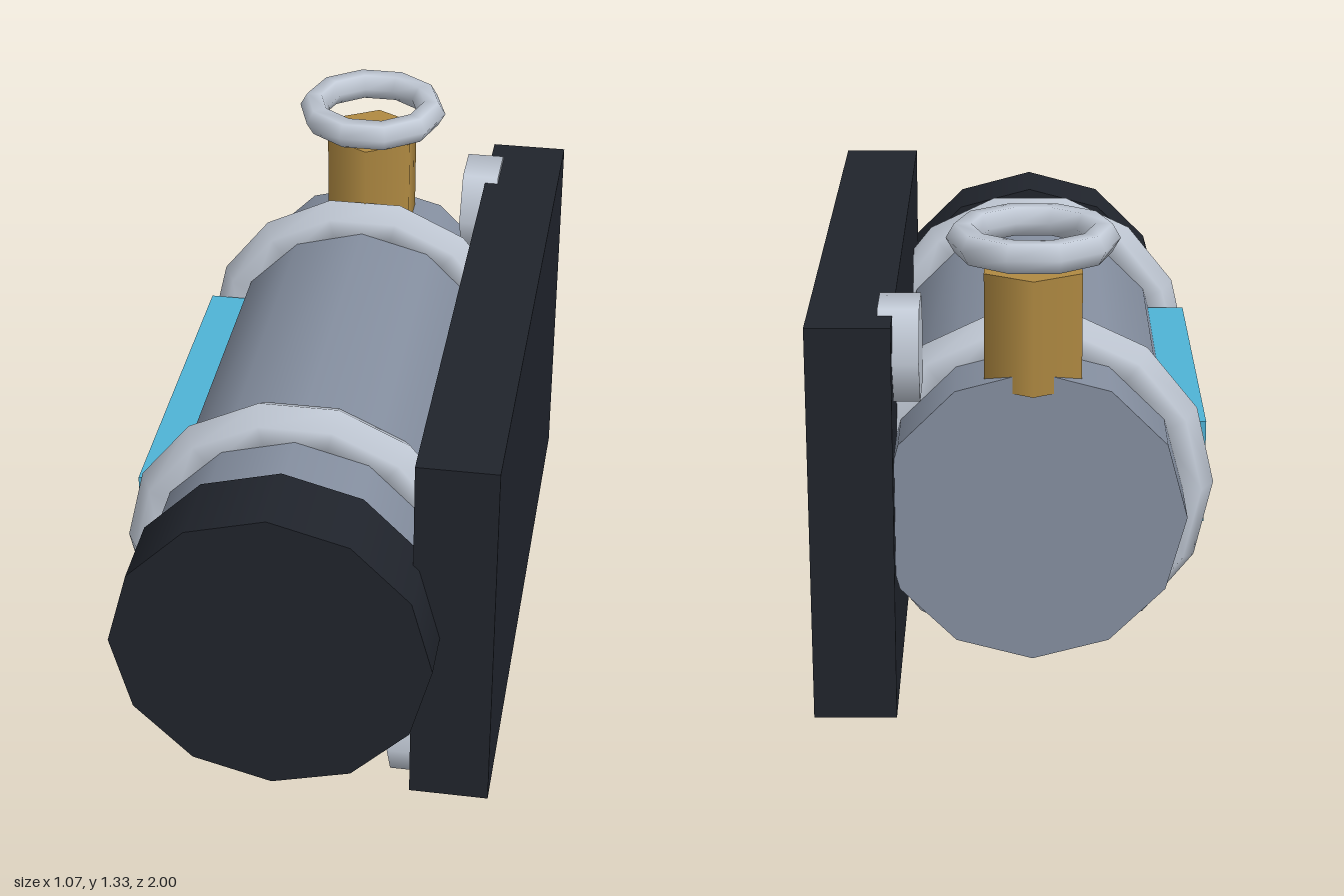
import * as THREE from 'three';

export function createModel() {
  const model = new THREE.Group();
  const paint = (color) => new THREE.MeshStandardMaterial({ color });
  const steel = paint(0x858fa0);
  const chrome = paint(0xc2cad6);
  const dark = paint(0x20242c);
  const brass = paint(0xb08a42);
  const cyan = paint(0x4fb3d6);

  const add = (name, geometry, material, x, y, z) => {
    const mesh = new THREE.Mesh(geometry, material);
    mesh.name = name;
    mesh.position.set(x, y, z);
    model.add(mesh);
    return mesh;
  };

  const axisX = -0.046, axisY = 0.565, valveZ = -0.785;

  // Horizontal tank and its front cap
  add('tank', new THREE.CylinderGeometry(0.405, 0.405, 1.7, 12), steel, axisX, axisY, -0.05).rotation.x = Math.PI / 2;
  add('frontCap', new THREE.CylinderGeometry(0.436, 0.436, 0.22, 12), dark, axisX, axisY, 0.89).rotation.x = Math.PI / 2;

  // Bands around the tank
  for (const [name, z] of [['frontBand', 0.522], ['backBand', -0.642]]) {
    add(name, new THREE.TorusGeometry(0.418, 0.073, 6, 14), chrome, axisX, axisY, z);
  }

  // Upright mounting plate
  add('mountingPlate', new THREE.BoxGeometry(0.22, 1.09, 1.824), dark, 0.425, 0.565, -0.058);

  // Hexagonal bolts at opposite corners of the plate
  for (const [name, y, z] of [['upperBolt', 1.0, -0.788], ['lowerBolt', 0.126, 0.675]]) {
    add(name, new THREE.CylinderGeometry(0.145, 0.145, 0.108, 6), chrome, 0.3, y, z).rotation.z = Math.PI / 2;
  }

  // Valve stem and handwheel
  add('valveStem', new THREE.CylinderGeometry(0.146, 0.146, 0.31, 6), brass, axisX, 1.065, valveZ);
  add('handwheel', new THREE.TorusGeometry(0.181, 0.044, 6, 10), chrome, axisX, 1.294, valveZ).rotation.x = Math.PI / 2;

  // Side panel
  add('sidePanel', new THREE.BoxGeometry(0.12, 0.292, 1.02), cyan, -0.46, 0.565, -0.06);

  return model;
}
